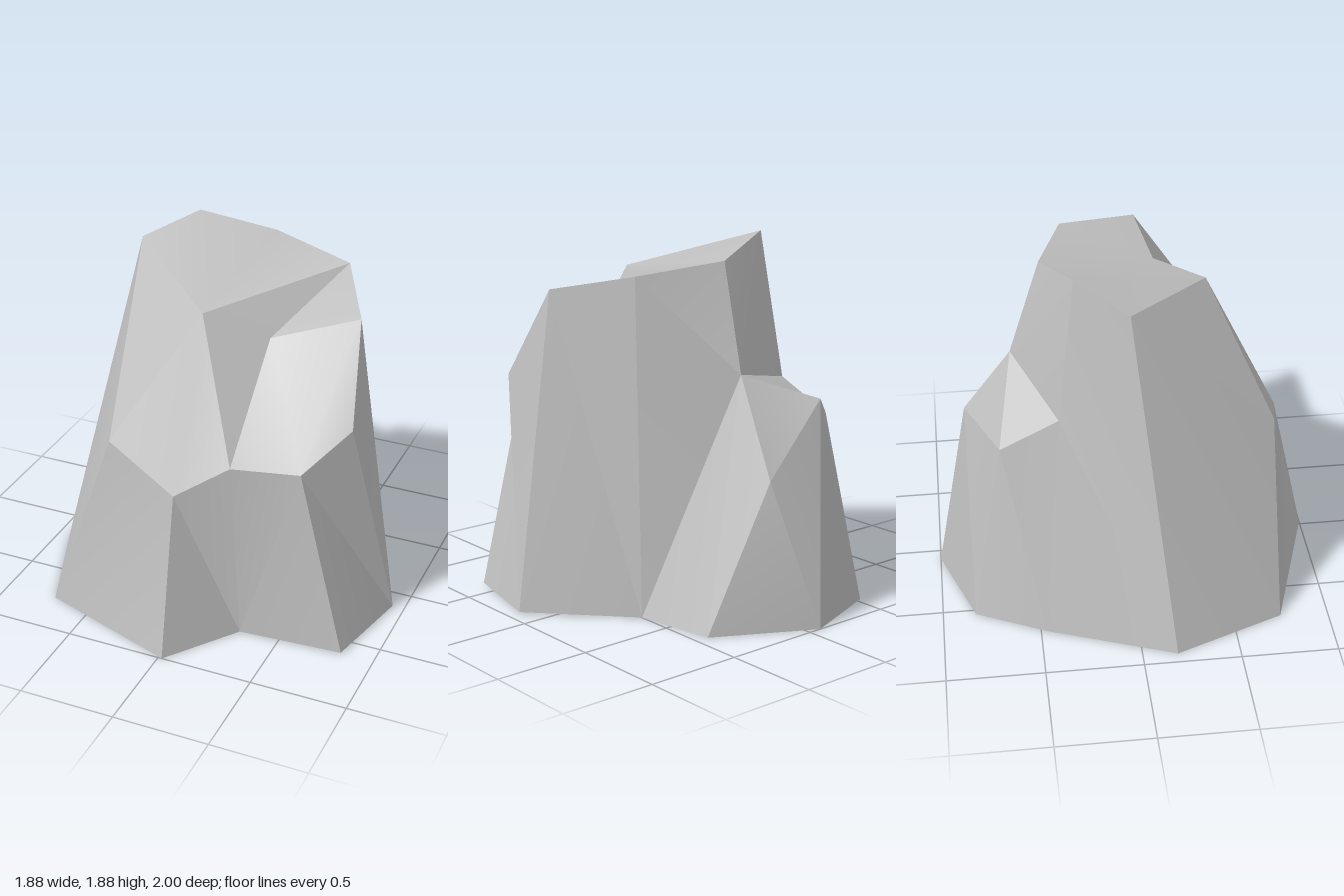
import * as THREE from 'three';
import { toCreasedNormals } from 'three/addons/utils/BufferGeometryUtils.js';

// Three loops of corners, each counter-clockwise seen from above: [x, y, z]
const loops = {
  // outline on the ground
  b: [[-0.94, 0, 0.18], [-0.72, 0, 0.75], [0.02, 0, 1], [0.29, 0, 0.64], [0.83, 0.01, 0.615], [0.94, 0.01, 0.13],
    [0.5, 0, -0.31], [0.43, 0, -0.73], [-0.07, 0, -1], [-0.53, 0, -0.83], [-0.7, 0, -0.47]],
  // shoulder: front ledge 0-4, rear ledge 5-9
  s: [[-0.37, 1.02, 0.73], [0.01, 0.84, 0.81], [0.25, 0.975, 0.67], [0.59, 0.98, 0.6], [0.78, 1.17, 0.41],
    [0.08, 1.23, -0.57], [0.12, 0.75, -0.83], [-0.22, 1.11, -0.82], [-0.42, 0.98, -0.66], [-0.4, 1.12, -0.36]],
  // rim of the summit
  r: [[-0.53, 1.79, -0.02], [0, 1.65, 0.42], [0.28, 1.49, 0.24], [0.71, 1.63, 0.14], [0.5, 1.72, -0.27],
    [0.05, 1.77, -0.41], [-0.32, 1.875, -0.27]],
};
const corner = (name) => loops[name[0]][Number(name.slice(1))];

export function createModel() {
  const positions = [];
  const triangle = (p, q, t) => {
    if (p !== q && q !== t && t !== p) positions.push(...p, ...q, ...t);
  };
  // Fan of triangles from the first corner
  const fan = (names) => {
    const [hub, ...rest] = names.split(' ').map(corner);
    for (let i = 0; i + 1 < rest.length; i++) triangle(hub, rest[i], rest[i + 1]);
  };
  // Wall made of "lower-upper" columns; columns may share a corner
  const wall = (columns) => {
    const pairs = columns.split(' ').map((c) => c.split('-').map(corner));
    for (let i = 0; i + 1 < pairs.length; i++) {
      const [low, high] = pairs[i];
      const [nextLow, nextHigh] = pairs[i + 1];
      triangle(low, nextLow, nextHigh);
      triangle(low, nextHigh, high);
    }
  };

  // Lower cliffs, all the way round
  wall('b0-r0 b1-r0 b1-s0 b2-s1 b3-s1 b3-s2 b4-s3 b5-s3 b5-s4 b5-r3 b6-r3 b6-r4 b6-s5 '
    + 'b7-s5 b7-s6 b8-s6 b8-s7 b9-s7 b9-s8 b10-s8 b10-s9 b0-s9 b0-r6 b0-r0');
  // Upper slopes, front and back
  wall('s0-r0 s0-r1 s1-r1 s2-r1 s2-r2 s3-r2 s4-r3');
  wall('s5-r4 s5-r5 s9-r6');
  // Rear ledge
  fan('s5 s6 s7 s8 s9');
  // Summit and the notch in its front right corner
  fan('r1 r4 r5 r6 r0');
  fan('r4 r1 r2 r3');
  // Underside, closed only beneath the rear ledge
  fan('b7 b10 b9 b8');

  const geometry = new THREE.BufferGeometry();
  geometry.setAttribute('position', new THREE.Float32BufferAttribute(positions, 3));

  const stone = new THREE.MeshStandardMaterial({ color: 0xc0c0c0, side: THREE.DoubleSide });
  stone.name = 'grey stone';
  const rock = new THREE.Mesh(toCreasedNormals(geometry, 0.4), stone);
  rock.name = 'rock';

  const model = new THREE.Group();
  model.name = 'boulder';
  model.add(rock);
  return model;
}
